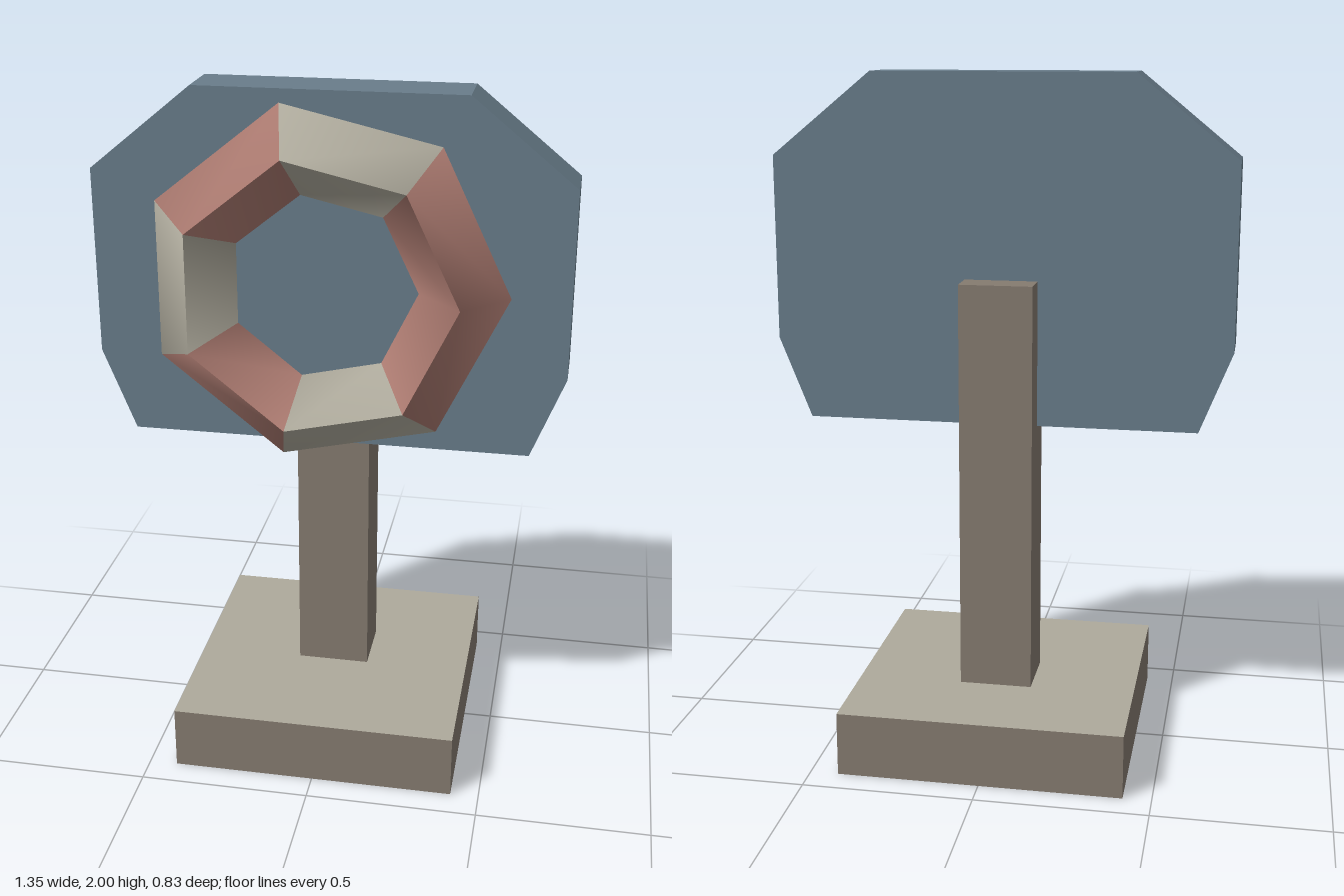
import * as THREE from 'three';
import { toCreasedNormals } from 'three/addons/utils/BufferGeometryUtils.js';

function material(name, color, side = THREE.FrontSide) {
  const m = new THREE.MeshStandardMaterial({ color, side });
  m.name = name;
  return m;
}

export function createModel() {
  const group = new THREE.Group();
  const blue = material('slate blue', 0x697d8b);
  const brown = material('stone brown', 0x857b70, THREE.DoubleSide);
  const cream = material('pale stone', 0xaeaa9c, THREE.DoubleSide);
  const red = material('faded red', 0xab7a70);

  const add = (name, geometry, mat, x, y, z) => {
    const mesh = new THREE.Mesh(geometry, mat);
    mesh.name = name;
    mesh.position.set(x, y, z);
    group.add(mesh);
    return mesh;
  };

  // Base: a hollow box, open underneath, with a pale top
  const baseGeometry = new THREE.BoxGeometry(0.835, 0.19, 0.835);
  const sides = baseGeometry.groups;
  baseGeometry.clearGroups();
  for (const g of sides) {
    if (g.materialIndex === 3) continue; // leave out the bottom
    baseGeometry.addGroup(g.start, g.count, g.materialIndex === 2 ? 1 : 0);
  }
  add('base', baseGeometry, [brown, cream], 0, 0.095, 0);

  // Post, standing on the base and running up behind the board
  add('post', new THREE.BoxGeometry(0.215, 1.22, 0.185), brown, 0, 0.8, -0.0425);

  // Board with cut corners, mirrored left to right
  const half = [[0.58, 0.98], [0.675, 1.22], [0.675, 1.76], [0.38, 2]];
  const outline = [...half, ...half.map(([x, y]) => [-x, y]).reverse()];
  const shape = new THREE.Shape(outline.map(([x, y]) => new THREE.Vector2(x, y)));
  add('board', new THREE.ExtrudeGeometry(shape, { depth: 0.16, bevelEnabled: false }), blue, 0, 0, -0.04);

  // Seven-sided ring: diamond section, segments alternating red and pale
  const around = 7, section = 4;
  const ringGeometry = toCreasedNormals(new THREE.TorusGeometry(0.39, 0.125, section, around), Math.PI / 3);
  ringGeometry.clearGroups();
  for (let k = 0; k < around * section; k++) {
    ringGeometry.addGroup(k * 6, 6, (k % around) % 2);
  }
  add('ring', ringGeometry, [red, cream], 0, 1.48, 0.215);

  return group;
}
